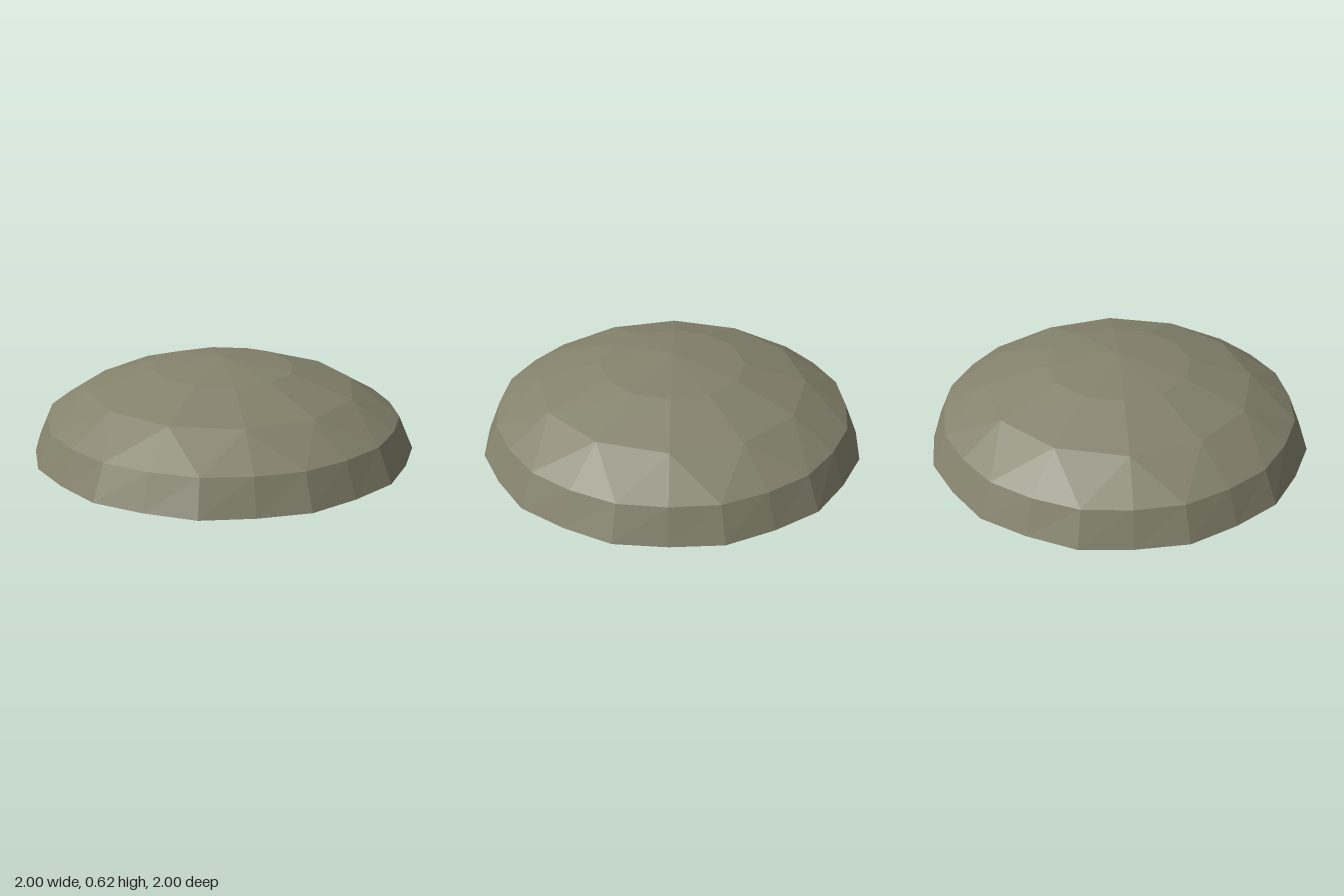
import * as THREE from 'three';

const olive = new THREE.MeshStandardMaterial({ color: 0x84826c, flatShading: true, side: THREE.DoubleSide });
olive.name = 'olive';

// Point on a ring of the dome, angle in degrees
function ringPoint(radius, y, degrees) {
  const a = THREE.MathUtils.degToRad(degrees);
  return [radius * Math.cos(a), y, radius * Math.sin(a)];
}

// Open faceted shell: twelve sectors, doubled to 24 sides at the skirt
function domeGeometry() {
  const tris = [];
  const tri = (a, b, c) => tris.push(...a, ...b, ...c);
  const quad = (a, b, c, d) => { tri(a, b, c); tri(a, c, d); };
  const apex = [0, 0.622, 0];
  const crown = (d) => ringPoint(0.375, 0.57, d);
  const shoulder = (d) => ringPoint(0.697, 0.47, d);
  const eave = (d, corner) => ringPoint(corner ? 0.927 : 0.918, 0.327, d);
  const rim = (d, corner) => ringPoint(corner ? 1.0038 : 0.988, 0.155, d);
  for (let i = 0; i < 12; i++) {
    const a = 10 + i * 30;
    tri(apex, crown(a + 30), crown(a));
    quad(crown(a), crown(a + 30), shoulder(a + 30), shoulder(a));
    tri(shoulder(a), eave(a, false), eave(a - 15, true));
    tri(shoulder(a), eave(a + 15, true), eave(a, false));
    tri(shoulder(a), shoulder(a + 30), eave(a + 15, true));
    quad(eave(a - 15, true), eave(a, false), rim(a, false), rim(a - 15, true));
    quad(eave(a, false), eave(a + 15, true), rim(a + 15, true), rim(a, false));
  }
  const geo = new THREE.BufferGeometry();
  geo.setAttribute('position', new THREE.Float32BufferAttribute(tris, 3));
  geo.computeVertexNormals();
  return geo;
}

// Stepped floor plan as [x, z] corners
const plan = [
  [0.21, -0.24], [0.21, -0.06], [0.28, -0.06], [0.28, 0.1], [0.14, 0.1], [0.14, 0.235],
  [0.015, 0.235], [0.015, 0.3], [-0.08, 0.3], [-0.08, 0.2], [-0.225, 0.2], [-0.225, 0.07],
  [-0.25, 0.07], [-0.25, -0.06], [-0.155, -0.06], [-0.155, -0.185], [-0.015, -0.185],
  [-0.015, -0.245], [0.04, -0.245], [0.04, -0.3], [0.12, -0.3], [0.12, -0.24],
];

function planSlab(bottom, height, scale) {
  const shape = new THREE.Shape(plan.map(([x, z]) => new THREE.Vector2(x * scale, -z * scale)));
  const geo = new THREE.ExtrudeGeometry(shape, { depth: height, bevelEnabled: false });
  return geo.rotateX(-Math.PI / 2).translate(0, bottom, 0);
}

export function createModel() {
  const model = new THREE.Group();
  model.name = 'domedBase';
  const add = (name, geo, x = 0, y = 0, z = 0, parent = model) => {
    const mesh = new THREE.Mesh(geo, olive);
    mesh.name = name;
    mesh.position.set(x, y, z);
    parent.add(mesh);
    return mesh;
  };

  add('dome', domeGeometry());

  // Small settlement under the dome
  const base = new THREE.Group();
  base.name = 'settlement';
  model.add(base);
  add('foundation', planSlab(0.015, 0.025, 1), 0, 0, 0, base);
  add('upperDeck', planSlab(0.04, 0.006, 0.96), 0, 0, 0, base);

  // Each block: name, width, height, depth, x, centre y, z
  const blocks = [
    ['foot', 0.07, 0.03, 0.12, -0.21, 0.015, 0.01],
    ['entranceRoof', 0.11, 0.012, 0.13, -0.215, 0.047, 0.01],
    ['eastBlock', 0.05, 0.03, 0.1, 0.25, 0.053, 0.02],
    ['backBlock', 0.08, 0.01, 0.09, 0.08, 0.048, -0.24],
    ['frontBlock', 0.08, 0.01, 0.09, -0.03, 0.048, 0.24],
    ['centreBlock', 0.09, 0.02, 0.08, 0.03, 0.054, 0.0],
    ['westBlock', 0.06, 0.012, 0.06, -0.1, 0.05, 0.12],
  ];
  for (const [name, w, h, d, x, y, z] of blocks) add(name, new THREE.BoxGeometry(w, h, d), x, y, z, base);

  // Low rounded huts
  const huts = [[0.18, -0.1], [0.25, 0.02], [0.1, 0.08], [0, -0.08], [-0.08, 0.03]];
  for (const [x, z] of huts) {
    const hut = new THREE.SphereGeometry(0.025, 8, 4, 0, Math.PI * 2, 0, Math.PI / 2);
    const onBlock = x > 0.22;
    const mesh = add('hut', hut, x, onBlock ? 0.06 : 0.045, z, base);
    mesh.scale.y = onBlock ? 0.6 : 0.9;
  }

  // Spire and lookout
  add('spire', new THREE.ConeGeometry(0.013, 0.036, 6), 0.065, 0.082, -0.03, base);
  add('lookoutPost', new THREE.CylinderGeometry(0.006, 0.006, 0.02, 6), -0.19, 0.062, 0, base);
  add('lookoutCap', new THREE.CylinderGeometry(0.008, 0.015, 0.01, 6), -0.19, 0.076, 0, base);
  return model;
}
